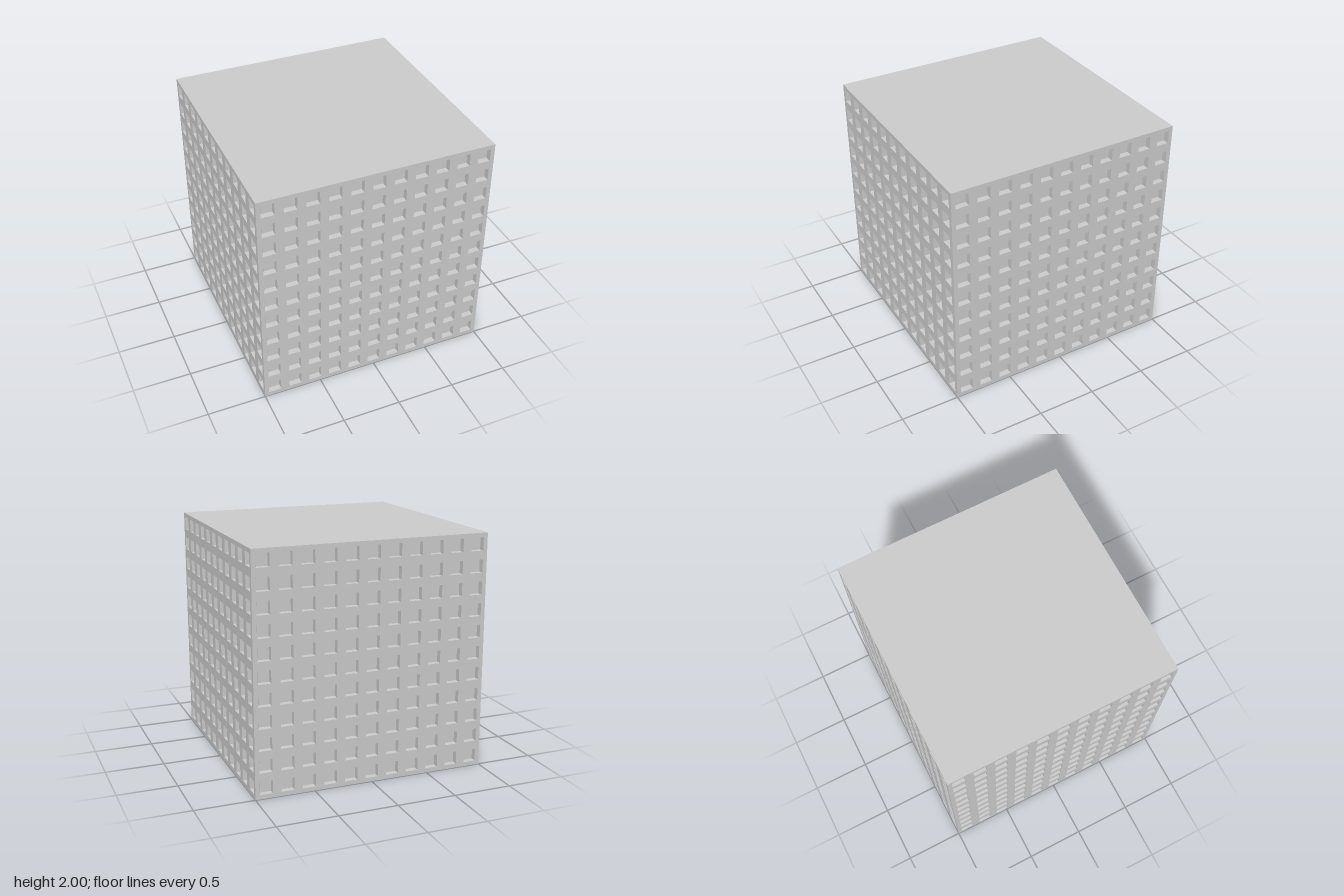
import * as THREE from 'three';
import { mergeGeometries } from 'three/addons/utils/BufferGeometryUtils.js';

const SIZE = 2, COUNT = 11;
const CELL = SIZE / COUNT;
const WINDOW = CELL * 0.6;
const DEPTH = 0.05;

const centre = (i) => (i + 0.5) * CELL - SIZE / 2;

// Square outline as a shape or hole path
function square(path, x, y, s) {
  const h = s / 2;
  path.moveTo(x - h, y - h);
  path.lineTo(x + h, y - h);
  path.lineTo(x + h, y + h);
  path.lineTo(x - h, y + h);
  path.closePath();
  return path;
}

// Flat wall pierced by the window grid
function wallGeometry() {
  const shape = square(new THREE.Shape(), 0, 0, SIZE);
  for (let i = 0; i < COUNT; i++)
    for (let j = 0; j < COUNT; j++)
      shape.holes.push(square(new THREE.Path(), centre(i), centre(j), WINDOW));
  return new THREE.ShapeGeometry(shape);
}

// Recess behind one window: four reveals and a back pane, facing inwards
function recessGeometry(x, y) {
  const h = WINDOW / 2;
  const parts = [new THREE.PlaneGeometry(WINDOW, WINDOW).translate(0, 0, -DEPTH)];
  for (let k = 0; k < 4; k++) {
    parts.push(new THREE.PlaneGeometry(WINDOW, DEPTH)
      .rotateX(-Math.PI / 2)
      .translate(0, -h, -DEPTH / 2)
      .rotateZ(k * Math.PI / 2));
  }
  return mergeGeometries(parts).translate(x, y, 0);
}

export function createModel() {
  const group = new THREE.Group();
  group.name = 'windowedCube';
  const material = new THREE.MeshStandardMaterial({ color: 0xcccccc });

  const wall = wallGeometry();
  const recesses = [];
  for (let i = 0; i < COUNT; i++)
    for (let j = 0; j < COUNT; j++)
      recesses.push(recessGeometry(centre(i), centre(j)));
  const recessGrid = mergeGeometries(recesses);

  // Four identical sides
  ['front', 'left', 'back', 'right'].forEach((name, k) => {
    const side = new THREE.Group();
    side.name = name + 'Side';
    const face = new THREE.Mesh(wall, material);
    face.name = name + 'Wall';
    const windows = new THREE.Mesh(recessGrid, material);
    windows.name = name + 'Windows';
    face.position.z = windows.position.z = SIZE / 2;
    side.add(face, windows);
    side.position.y = SIZE / 2;
    side.rotation.y = k * Math.PI / 2;
    group.add(side);
  });

  // Plain roof and base
  const slab = new THREE.PlaneGeometry(SIZE, SIZE);
  const roof = new THREE.Mesh(slab, material);
  roof.name = 'roof';
  roof.rotation.x = -Math.PI / 2;
  roof.position.y = SIZE;
  const base = new THREE.Mesh(slab, material);
  base.name = 'base';
  base.rotation.x = Math.PI / 2;
  group.add(roof, base);

  return group;
}
